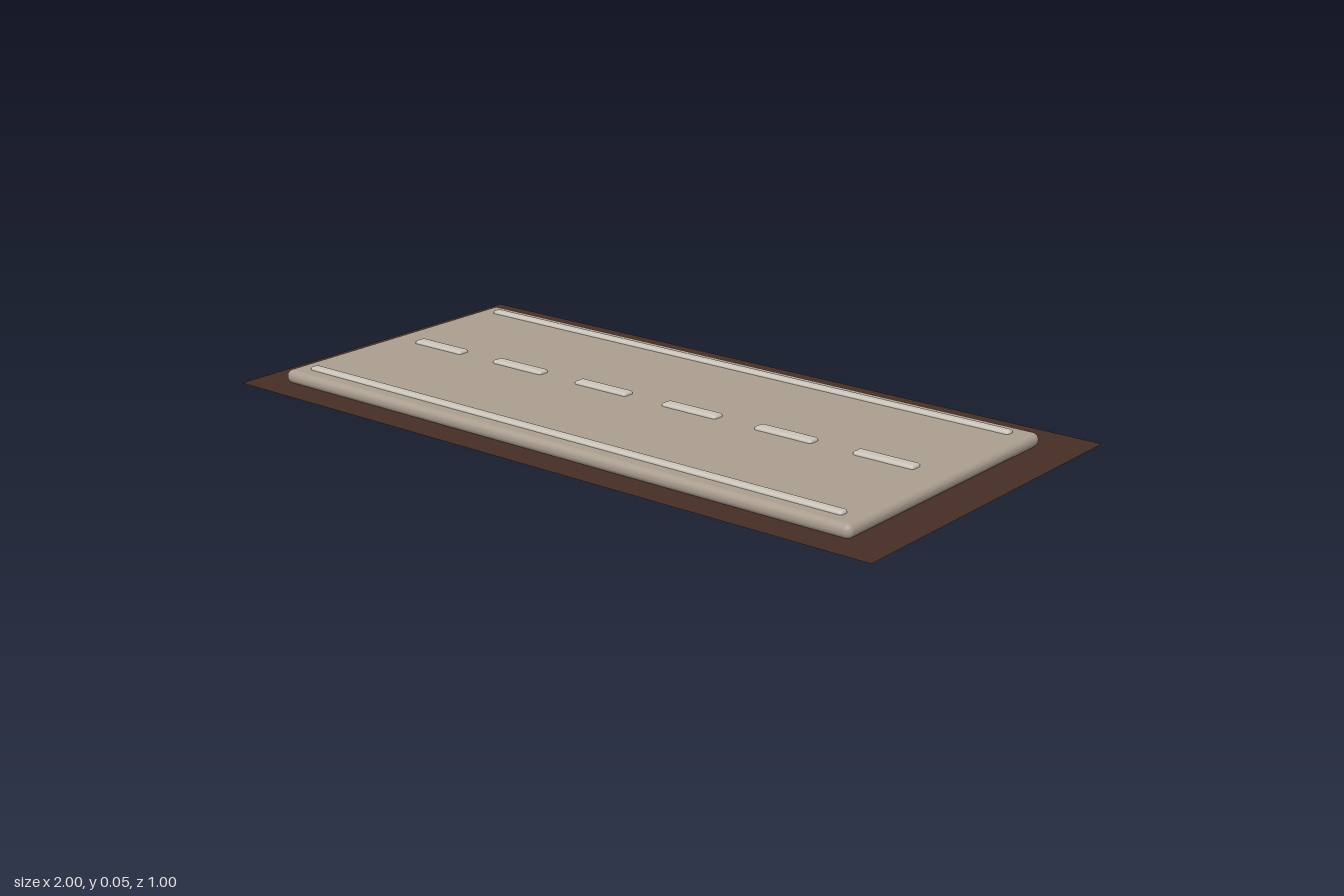
import * as THREE from 'three';
import { RoundedBoxGeometry } from 'three/addons/geometries/RoundedBoxGeometry.js';

const material = (name, color, side = THREE.FrontSide) => {
  const m = new THREE.MeshStandardMaterial({ color, side });
  m.name = name;
  return m;
};

export function createModel() {
  const group = new THREE.Group();
  group.name = 'roadSection';
  const earth = material('dark earth', 0x462e24, THREE.DoubleSide);
  const paving = material('warm grey paving', 0xaa9d8f);
  const paint = material('pale line paint', 0xc9c3b9);

  // The road sits slightly off the middle of the ground
  const cx = -0.0125, cz = 0.015;

  const add = (name, geometry, mat, x, y, z) => {
    const mesh = new THREE.Mesh(geometry, mat);
    mesh.name = name;
    mesh.position.set(x, y, z);
    group.add(mesh);
  };

  // Flat ground sheet
  add('ground', new THREE.PlaneGeometry(2, 1).rotateX(-Math.PI / 2), earth, 0, 0.002, 0);

  // Rounded road slab
  add('roadSlab', new RoundedBoxGeometry(1.807, 0.037, 0.816, 5, 0.0175), paving, cx, 0.0185, cz);

  // Raised line along each edge
  for (const side of [-1, 1]) {
    add(side > 0 ? 'frontEdgeLine' : 'backEdgeLine',
      new RoundedBoxGeometry(1.704, 0.018, 0.028, 4, 0.008), paint, cx, 0.0365, cz + side * 0.352);
  }

  // Dashed centre line
  const dash = new RoundedBoxGeometry(0.172, 0.018, 0.036, 4, 0.008);
  for (let i = 0; i < 6; i++) {
    add(`centreDash${i + 1}`, dash, paint, cx + (i - 2.5) * 0.29, 0.0365, cz);
  }
  return group;
}
